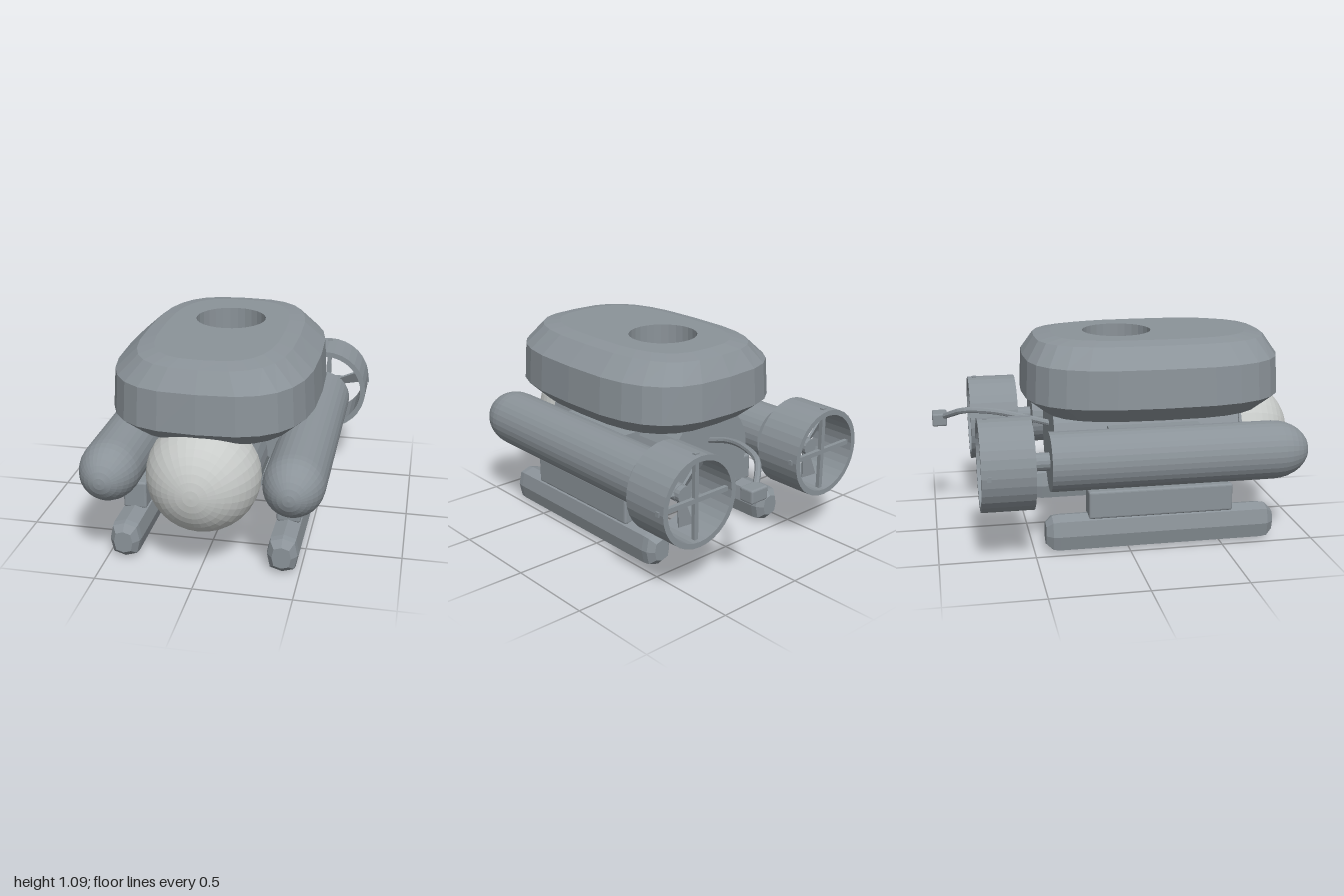
import * as THREE from 'three';
import { RoundedBoxGeometry } from 'three/addons/geometries/RoundedBoxGeometry.js';

export function createModel() {
  const root = new THREE.Group();
  const hullGrey = new THREE.MeshStandardMaterial({ color: 0x8b9399, flatShading: true });
  hullGrey.name = 'hull grey';
  const domeGrey = new THREE.MeshStandardMaterial({ color: 0xc8cbc9, flatShading: true });
  domeGrey.name = 'pale dome';

  const add = (name, geometry, x = 0, y = 0, z = 0, parent = root, material = hullGrey) => {
    const mesh = new THREE.Mesh(geometry, material);
    mesh.name = name;
    mesh.position.set(x, y, z);
    parent.add(mesh);
    return mesh;
  };
  const cylinderZ = (r, length, sides = 32) => new THREE.CylinderGeometry(r, r, length, sides).rotateX(Math.PI / 2);

  // Skin a row of closed loops that all have the same number of points
  const loft = (loops) => {
    const n = loops[0].length, pos = [];
    for (let i = 0; i < loops.length - 1; i++) {
      for (let j = 0; j < n; j++) {
        const k = (j + 1) % n;
        const a = loops[i][j], b = loops[i][k], c = loops[i + 1][k], d = loops[i + 1][j];
        for (const p of [a, d, b, b, d, c]) pos.push(...p);
      }
    }
    const g = new THREE.BufferGeometry();
    g.setAttribute('position', new THREE.Float32BufferAttribute(pos, 3));
    g.computeVertexNormals();
    return g;
  };
  // Superellipse outline: power 1 is an ellipse, lower is squarer
  const outline = (n, a, b, power, place) => Array.from({ length: n }, (_, i) => {
    const t = (i / n) * Math.PI * 2, c = Math.cos(t), s = Math.sin(t);
    return place(a * Math.sign(c) * Math.abs(c) ** power, b * Math.sign(s) * Math.abs(s) ** power);
  });

  // Main hull and viewing dome
  add('hull', cylinderZ(0.275, 1.03), 0, 0.49, 0.15);
  add('viewingDome', new THREE.SphereGeometry(0.29, 32, 12, 0, Math.PI * 2, 0, 1.71).rotateX(Math.PI / 2),
    0, 0.49, 0.705, root, domeGrey);
  add('domeCollar', cylinderZ(0.285, 0.02), 0, 0.49, 0.66);

  // Buoyancy block with a vertical tunnel through it
  const levels = [[0.69, 0.44, 0.595], [0.775, 0.525, 0.7], [0.975, 0.512, 0.69], [1.075, 0.4, 0.625], [1.092, 0.32, 0.53]];
  const blockLoops = levels.map(([y, a, b]) => outline(28, a, b, 2 / 3, (x, z) => [x, y, z + 0.185]));
  for (const y of [1.092, 0.69]) blockLoops.push(outline(28, 0.187, 0.187, 1, (x, z) => [x, y, z + 0.015]));
  blockLoops.push(blockLoops[0]);
  add('buoyancyBlock', loft(blockLoops));

  // Three-bladed propeller, turning about z
  const bladeShape = new THREE.Shape([[0.02, -0.015], [0.195, -0.04], [0.195, 0.04], [0.02, 0.015]]
    .map(([x, y]) => new THREE.Vector2(x, y)));
  const bladeGeometry = new THREE.ExtrudeGeometry(bladeShape, { depth: 0.012, bevelEnabled: false })
    .translate(0, 0, -0.006).rotateX(0.45);
  const propeller = (name, x, y, z, size) => {
    const group = new THREE.Group();
    group.name = name;
    group.position.set(x, y, z);
    group.scale.setScalar(size);
    add('propellerHub', cylinderZ(0.045, 0.08, 16), 0, 0, 0, group);
    for (let i = 0; i < 3; i++) {
      add('propellerBlade', bladeGeometry, 0, 0, 0, group).rotation.z = 0.3 + (i * Math.PI * 2) / 3;
    }
    root.add(group);
    return group;
  };
  propeller('liftPropeller', 0, 0.83, 0.015, 0.85).rotation.x = -Math.PI / 2;

  // Duct wall section, turned about z
  const ductProfile = [[0.212, -0.135], [0.241, -0.135], [0.241, 0.135], [0.212, 0.135], [0.212, -0.135]]
    .map(([r, h]) => new THREE.Vector2(r, h));
  const ductGeometry = new THREE.LatheGeometry(ductProfile, 32).rotateX(Math.PI / 2);

  // Skid runner from octagonal sections, with chamfered ends
  const skidLoops = [[0.79, 0], [0.79, 0.6], [0.755, 0.95], [0.72, 1], [-0.37, 1], [-0.405, 0.95], [-0.44, 0.6], [-0.44, 0]]
    .map(([z, s]) => outline(8, 0.082 * s, 0.098 * s, 2 / 3, (x, y) => [x, y + 0.098, z]));
  const skidGeometry = loft(skidLoops);

  for (const side of [1, -1]) {
    const label = side > 0 ? 'left' : 'right';
    const x = 0.464 * side;

    // Side pod with rounded nose
    add(label + 'Pod', cylinderZ(0.155, 1.185), x, 0.507, 0.1725);
    add(label + 'PodNose', new THREE.SphereGeometry(0.155, 32, 8, 0, Math.PI * 2, 0, Math.PI / 2)
      .rotateX(Math.PI / 2).scale(1, 1, 1.29), x, 0.507, 0.765);

    // Ducted thruster
    add(label + 'Shaft', cylinderZ(0.047, 0.24, 16), x, 0.51, -0.52);
    add(label + 'Duct', ductGeometry, x, 0.51, -0.645);
    propeller(label + 'Propeller', x, 0.51, -0.63, 1);
    add(label + 'GuardBarAcross', new THREE.BoxGeometry(0.494, 0.025, 0.022), x, 0.51, -0.742);
    add(label + 'GuardBarUpright', new THREE.BoxGeometry(0.025, 0.494, 0.022), x, 0.51, -0.742);

    // Skid and its mount
    add(label + 'Skid', skidGeometry, 0.41 * side);
    add(label + 'SkidMount', new RoundedBoxGeometry(0.125, 0.15, 0.775, 2, 0.012), 0.41 * side, 0.255, 0.172);
  }

  // Cross beams joining pods and skids to the hull
  add('podBeam', new THREE.BoxGeometry(0.8, 0.14, 0.5), 0, 0.55, 0.17);
  add('skidBeam', new THREE.BoxGeometry(0.76, 0.08, 0.25), 0, 0.285, 0.17);

  // Tether and its end block at the stern
  const tetherPath = new THREE.CatmullRomCurve3([
    [0, 0.58, -0.35], [0, 0.62, -0.49], [0.05, 0.65, -0.66], [0.12, 0.645, -0.82], [0.19, 0.61, -0.89], [0.27, 0.57, -0.95],
  ].map((p) => new THREE.Vector3(...p)));
  add('tether', new THREE.TubeGeometry(tetherPath, 16, 0.017, 8));
  add('tetherBlock', new RoundedBoxGeometry(0.11, 0.072, 0.082, 2, 0.01), 0.28, 0.565, -0.954);

  return root;
}
